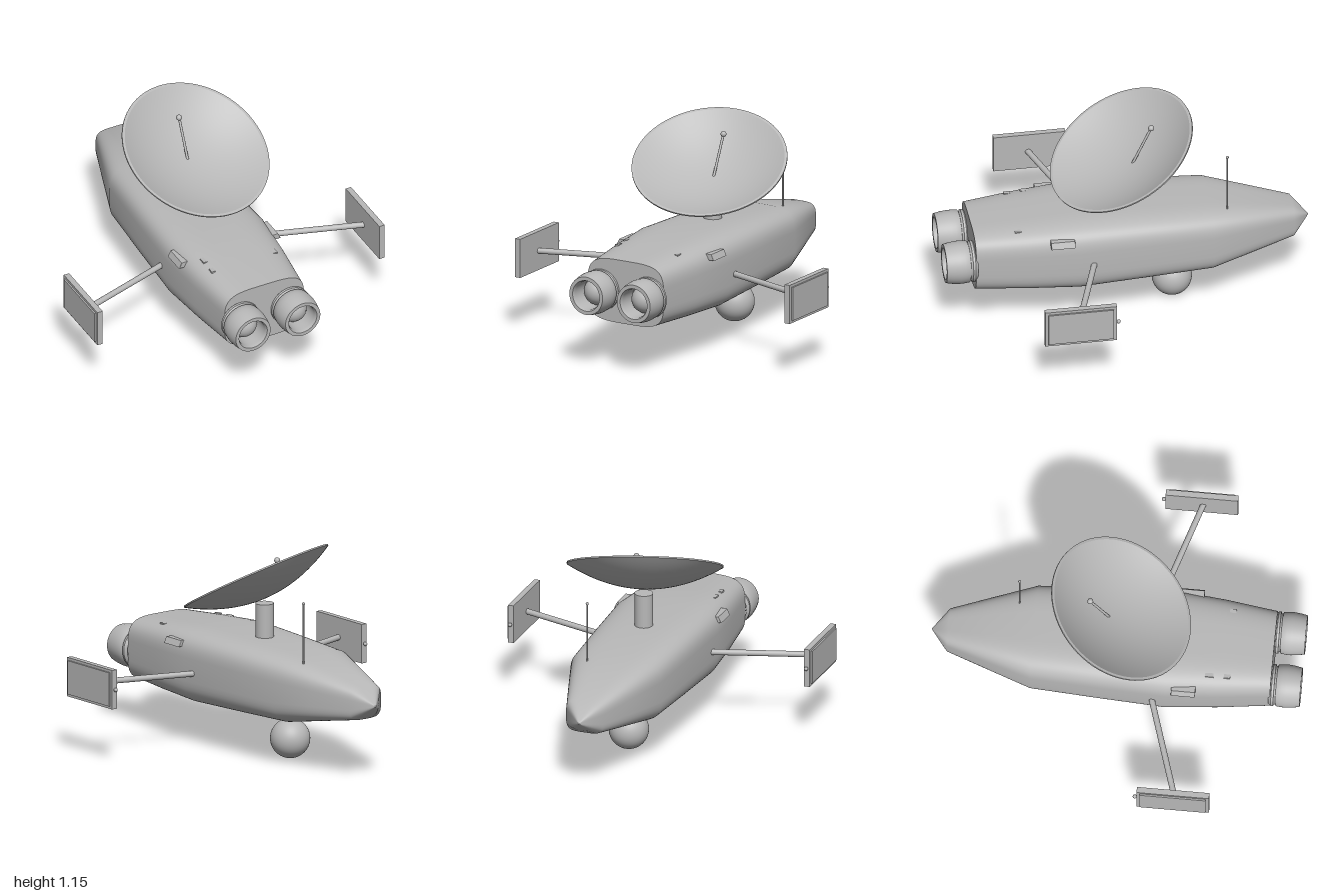
import * as THREE from 'three';

const grey = new THREE.MeshStandardMaterial({ color: 0xb8b8b8 });
grey.name = 'hull grey';

function add(parent, name, geometry, x = 0, y = 0, z = 0) {
  const mesh = new THREE.Mesh(geometry, grey);
  mesh.name = name;
  mesh.position.set(x, y, z);
  parent.add(mesh);
  return mesh;
}

const V2 = (pairs) => pairs.map(([x, y]) => new THREE.Vector2(x, y));

// Cylinder between two points
function rod(parent, name, a, b, radius) {
  const from = new THREE.Vector3(...a), to = new THREE.Vector3(...b);
  const dir = to.clone().sub(from);
  const mesh = add(parent, name, new THREE.CylinderGeometry(radius, radius, dir.length(), 16));
  mesh.position.copy(from).add(to).multiplyScalar(0.5);
  mesh.quaternion.setFromUnitVectors(new THREE.Vector3(0, 1, 0), dir.normalize());
  return mesh;
}

// Hull stations: z, half width, bottom, top
const STATIONS = [
  [0.84, 0.24, 0.245, 0.595], [0.56, 0.275, 0.234, 0.617], [0.28, 0.3, 0.225, 0.635],
  [-0.08, 0.283, 0.237, 0.626], [-0.45, 0.262, 0.25, 0.613],
  [-0.68, 0.185, 0.293, 0.564], [-0.91, 0.107, 0.336, 0.514], [-1, 0.001, 0.419, 0.421],
];
const SEG = 64;

function ring([z, w, bottom, top]) {
  const power = (v) => Math.sign(v) * Math.sqrt(Math.abs(v));
  return Array.from({ length: SEG }, (_, j) => {
    const t = (j / SEG) * Math.PI * 2;
    return [w * power(Math.cos(t)), (top + bottom) / 2 + ((top - bottom) / 2) * power(Math.sin(t)), z];
  });
}

function hullGeometry() {
  const index = [];
  for (let i = 0; i < STATIONS.length - 1; i++) {
    for (let j = 0; j < SEG; j++) {
      const k = (j + 1) % SEG;
      const a = i * SEG + j, b = i * SEG + k, c = a + SEG, d = b + SEG;
      index.push(a, c, b, b, c, d);
    }
  }
  const g = new THREE.BufferGeometry();
  g.setAttribute('position', new THREE.Float32BufferAttribute(STATIONS.flatMap(ring).flat(), 3));
  g.setIndex(index);
  g.computeVertexNormals();
  return g;
}

export function createModel() {
  const model = new THREE.Group();
  model.name = 'spacecraft';

  // Hull and its flat front bulkhead
  add(model, 'hull', hullGeometry());
  const outline = new THREE.Shape(V2(ring(STATIONS[0])));
  add(model, 'frontBulkhead', new THREE.ShapeGeometry(outline), 0, 0, STATIONS[0][0]);

  // Twin nozzles; repeated points keep an edge sharp
  const nozzleProfile = V2([
    [0.1, 0.83], [0.113, 0.845], [0.113, 0.845], [0.113, 0.858], [0.113, 0.858], [0.104, 0.86],
    [0.104, 0.868], [0.104, 0.868], [0.112, 0.872], [0.115, 0.9], [0.116, 0.925], [0.112, 0.965],
    [0.105, 1], [0.105, 1], [0.085, 1], [0.085, 1], [0.078, 0.98], [0.078, 0.89], [0.078, 0.89], [0, 0.88],
  ]);
  const nozzle = new THREE.LatheGeometry(nozzleProfile, 48).rotateX(Math.PI / 2);

  for (const side of [-1, 1]) {
    const label = side > 0 ? 'left' : 'right';
    add(model, label + 'Nozzle', nozzle, side * 0.15, 0.417, 0);
    add(model, label + 'NozzleCore', new THREE.SphereGeometry(0.075, 32, 20), side * 0.15, 0.417, 0.88);

    // Swept arm carrying a framed panel
    rod(model, label + 'Arm', [side * 0.2, 0.417, 0.18], [side * 0.84, 0.417, 0.383], 0.016);
    const panel = new THREE.Group();
    panel.name = label + 'Panel';
    panel.position.set(side * 0.851, 0.418, 0.375);
    model.add(panel);
    add(panel, 'panelFrame', new THREE.BoxGeometry(0.032, 0.215, 0.39));
    add(panel, 'panelFace', new THREE.BoxGeometry(0.009, 0.185, 0.355), side * 0.0205);
    add(panel, 'panelKnob', new THREE.SphereGeometry(0.011, 16, 12), 0, 0, -0.206);

    // Shoulder blister with a slanted section
    const section = new THREE.Shape(V2([
      [side * 0.22, 0.547], [side * 0.305, 0.547], [side * 0.29, 0.577], [side * 0.22, 0.577],
    ]));
    add(model, label + 'Blister', new THREE.ExtrudeGeometry(section, {
      depth: 0.124, bevelThickness: 0.003, bevelSize: 0.002, bevelSegments: 2,
    }), 0, 0, 0.315);
  }

  // Small fittings on the deck
  for (const [x, y, z, d] of [[-0.195, 0.602, 0.51, 0.045], [-0.192, 0.597, 0.605, 0.035], [0.182, 0.597, 0.605, 0.035]]) {
    add(model, 'deckFitting', new THREE.BoxGeometry(0.022, 0.018, d), x, y, z);
  }

  // Belly sensor ball
  add(model, 'sensorNeck', new THREE.CylinderGeometry(0.042, 0.042, 0.08, 32), 0, 0.23, -0.26);
  add(model, 'sensorBall', new THREE.SphereGeometry(0.108, 40, 28), 0, 0.108, -0.26);

  // Dish on its pedestal
  add(model, 'dishPedestal', new THREE.CylinderGeometry(0.05, 0.05, 0.2, 32), 0, 0.71, -0.039);
  const bowl = (radius, depth, edge) => Array.from({ length: 15 }, (_, i) => {
    const t = i / 14;
    return [radius * t, edge - depth * (1 - t * t)];
  });
  const outer = bowl(0.42, 0.126, -0.008), inner = bowl(0.405, 0.117, 0).reverse();
  const dishProfile = V2([...outer, outer[14], [0.42, 0], [0.42, 0], inner[0], ...inner]);
  const dish = add(model, 'dish', new THREE.LatheGeometry(dishProfile, 72), 0.015, 0.954, 0.018);
  dish.quaternion.setFromUnitVectors(
    new THREE.Vector3(0, 1, 0), new THREE.Vector3(0.15, 0.88, 0.45).normalize());
  rod(model, 'dishFeed', [0, 0.845, -0.045], [0, 1.065, -0.148], 0.007);
  add(model, 'dishFeedTip', new THREE.SphereGeometry(0.016, 20, 14), 0, 1.065, -0.148);

  // Whip aerial
  rod(model, 'aerial', [0.13, 0.54, -0.54], [0.13, 0.92, -0.54], 0.0045);
  add(model, 'aerialTip', new THREE.SphereGeometry(0.008, 14, 10), 0.13, 0.92, -0.54);

  return model;
}
